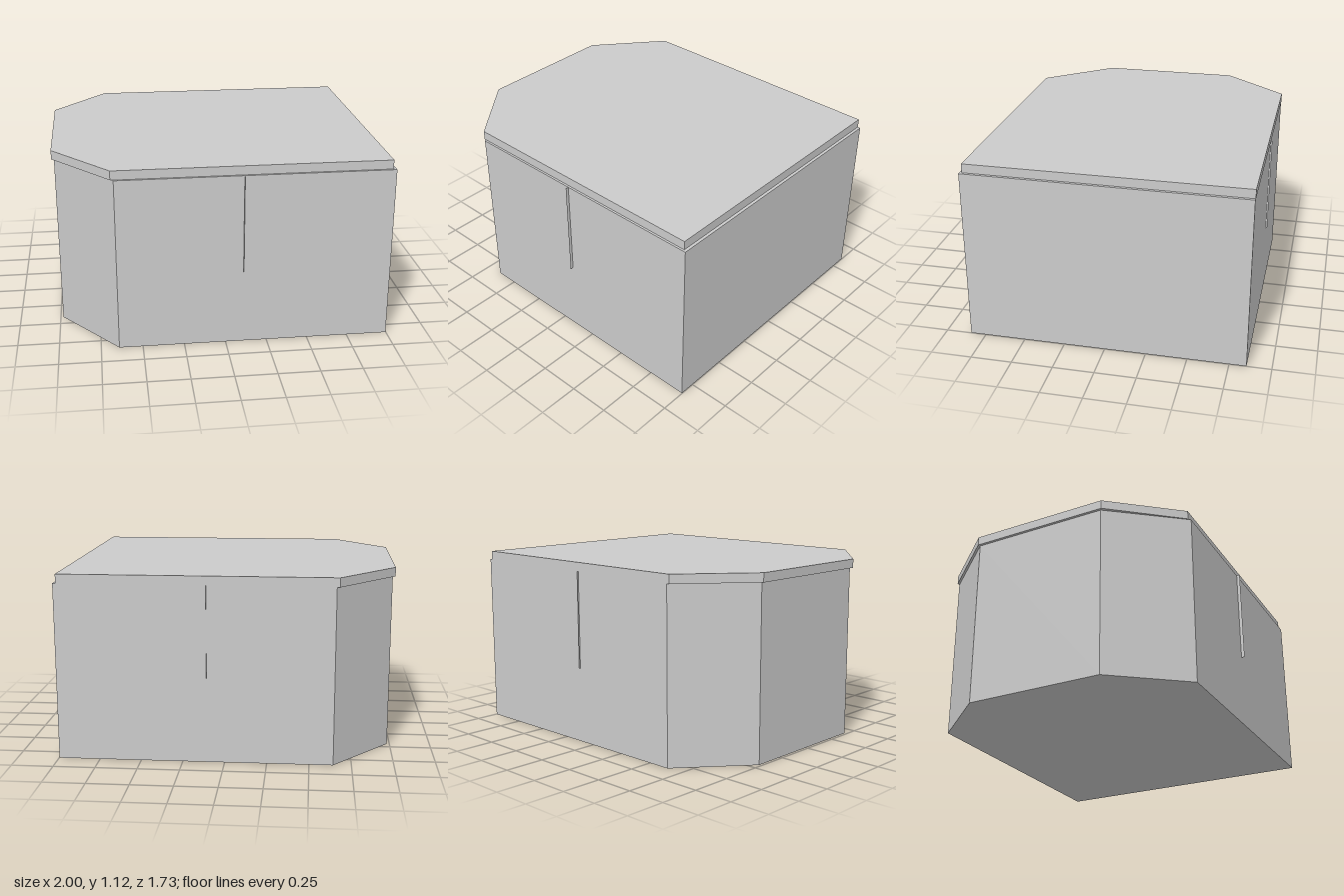
import * as THREE from 'three';

const material = new THREE.MeshStandardMaterial({ color: 0xcccccc, flatShading: true });

// Upright prism from an outline of [x, z] corners
function prism(name, outline, bottom, top) {
  const shape = new THREE.Shape(outline.map(([x, z]) => new THREE.Vector2(x, -z)));
  const geometry = new THREE.ExtrudeGeometry(shape, { depth: top - bottom, bevelEnabled: false });
  geometry.rotateX(-Math.PI / 2).translate(0, bottom, 0);
  const mesh = new THREE.Mesh(geometry, material);
  mesh.name = name;
  return mesh;
}

export function createModel() {
  const group = new THREE.Group();
  group.name = 'cabinet';

  // Closed body with two chamfered corners on the -x side
  group.add(prism('body', [
    [-0.984, 0.414], [-0.642, 0.845], [0.998, 0.845],
    [0.998, -0.852], [-0.642, -0.852], [-0.984, -0.445],
  ], 0, 1.065));

  // Top slab, shifted slightly towards -x
  group.add(prism('topSlab', [
    [-1, 0.425], [-0.66, 0.832], [0.98, 0.832],
    [0.98, -0.853], [-0.66, -0.853], [-1, -0.449],
  ], 1.065, 1.12));

  // Thin divider sheet whose edges stand out of the front and back
  const sheet = new THREE.PlaneGeometry(1.727, 0.6);
  sheet.rotateY(Math.PI / 2).translate(0.105, 0.765, 0.002);
  const divider = new THREE.Mesh(sheet, material.clone());
  divider.material.side = THREE.DoubleSide;
  divider.name = 'divider';
  group.add(divider);

  return group;
}
